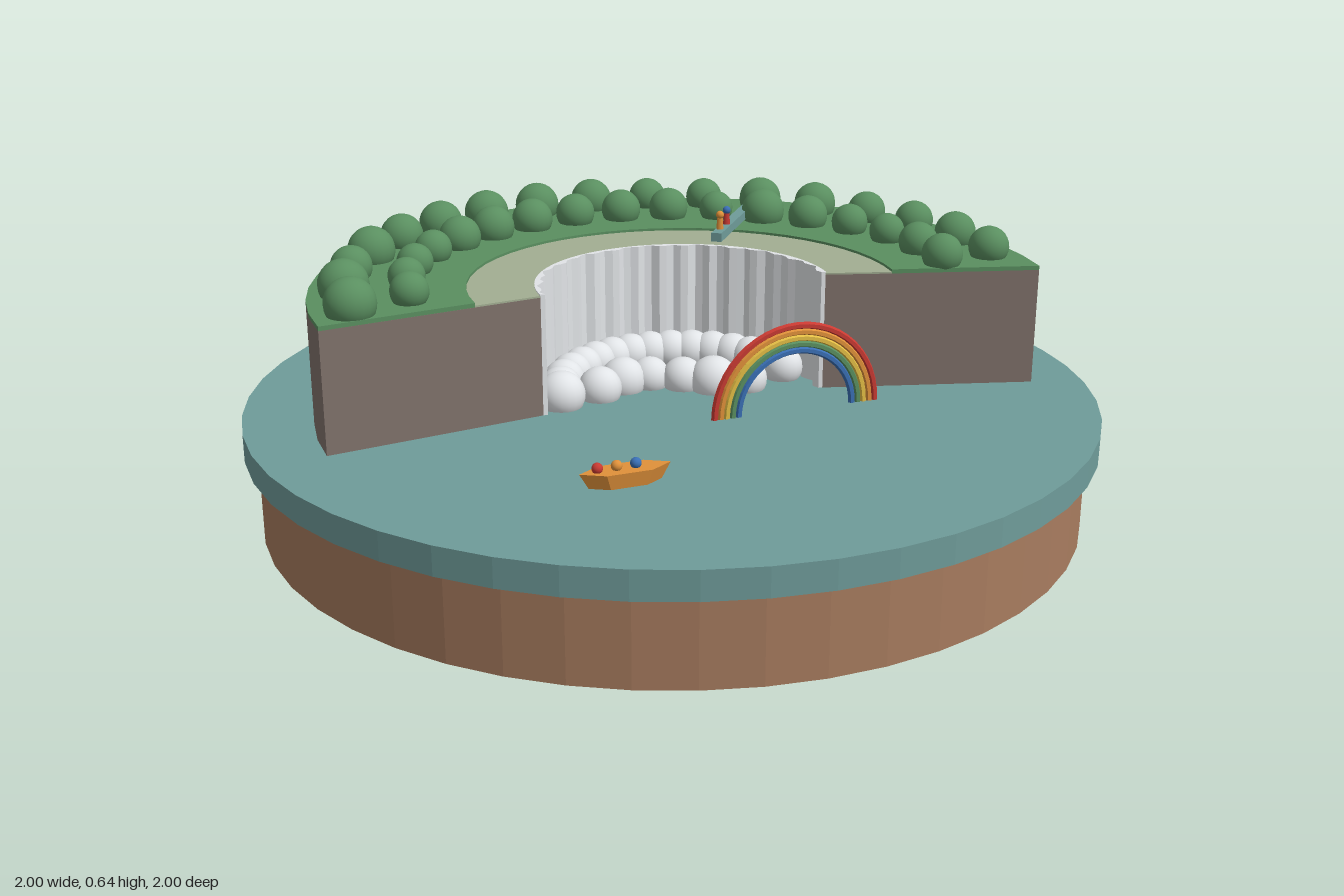
import * as THREE from 'three';

const mat = (name, color) => {
  const m = new THREE.MeshStandardMaterial({ color });
  m.name = name;
  return m;
};

export function createModel() {
  const model = new THREE.Group();
  model.name = 'waterfallIsland';
  const earth = mat('earth brown', 0xa87c5f);
  const water = mat('water teal', 0x6f9c9a);
  const rock = mat('rock grey', 0x80726b);
  const green = mat('foliage green', 0x5a8f60);
  const river = mat('pale river bank', 0xa2ae92);
  const white = mat('foam white', 0xe2e5e8);
  const red = mat('red', 0xc93a32);
  const orange = mat('orange', 0xe0913a);
  const yellow = mat('yellow', 0xe3bd45);
  const blue = mat('blue', 0x3a6fb5);

  const CX = -0.02, CZ = 0.066; // centre of the horseshoe

  function add(name, geo, material, x = 0, y = 0, z = 0, parent = model) {
    const mesh = new THREE.Mesh(geo, material);
    mesh.name = name;
    mesh.position.set(x, y, z);
    parent.add(mesh);
    return mesh;
  }
  const faceted = (geo) => {
    const g = geo.index ? geo.toNonIndexed() : geo;
    g.computeVertexNormals();
    return g;
  };
  const ball = (name, r, material, x, y, z, parent) =>
    add(name, new THREE.SphereGeometry(r, 20, 14), material, x, y, z, parent);
  // Position on a plan circle, angle in degrees from +x towards +z
  const polar = (r, deg) => {
    const a = THREE.MathUtils.degToRad(deg);
    return [CX + r * Math.cos(a), CZ + r * Math.sin(a)];
  };

  // Curved slab between two arcs { r, from, to, n, wave }
  function arcPoints({ r, from, to, n = 28, wave }) {
    return Array.from({ length: n + 1 }, (_, i) => {
      const [x, z] = polar(r + (wave ? wave(i) : 0), from + (to - from) * i / n);
      return new THREE.Vector2(x, -z);
    });
  }
  function slab(name, outer, inner, y0, y1, material) {
    const shape = new THREE.Shape([...arcPoints(outer), ...arcPoints(inner).reverse()]);
    const geo = new THREE.ExtrudeGeometry(shape, { depth: y1 - y0, bevelEnabled: false });
    geo.rotateX(-Math.PI / 2);
    return add(name, geo, material, 0, y0, 0);
  }

  // Round base and water disc
  add('base', faceted(new THREE.CylinderGeometry(0.97, 0.97, 0.2, 48)), earth, 0, 0.1, 0);
  add('waterDisc', faceted(new THREE.CylinderGeometry(1, 1, 0.065, 48)), water, 0, 0.2325, 0);

  // Horseshoe cliff with grass and river bank on top
  const outerArc = { r: 0.852, from: 194.7, to: 392.4 };
  const bankArc = { r: 0.498, from: 197.5, to: 390.4 };
  const innerArc = { r: 0.342, from: 200.4, to: 387.6 };
  slab('cliff', outerArc, innerArc, 0.265, 0.545, rock);
  slab('grass', outerArc, bankArc, 0.545, 0.555, green);
  slab('riverBank', bankArc, innerArc, 0.545, 0.549, river);

  // Rippled curtain of falling water
  const ripple = (i) => 0.006 * Math.sin(i * 1.9) + 0.004 * Math.sin(i * 0.7);
  slab('waterfall', { ...innerArc, r: 0.343, n: 60 },
    { ...innerArc, r: 0.331, n: 60, wave: ripple }, 0.265, 0.552, white);

  // Foam along the foot of the falls and trailing into the pool
  const foam = new THREE.Group();
  foam.name = 'foam';
  model.add(foam);
  for (let i = 0; i < 16; i++) {
    const [x, z] = polar(0.288, 210 + i * 10.5);
    ball('foamBall', i === 0 ? 0.056 : 0.05, white, x, 0.293, z, foam);
  }
  [[-0.165, -0.067, 0.052], [-0.085, -0.08, 0.055], [-0.02, -0.058, 0.048],
    [0.035, 0, 0.05], [0.08, 0.06, 0.058], [0.145, 0.105, 0.05]]
    .forEach(([x, z, r]) => ball('foamBall', r, white, x, 0.288, z, foam));

  // Two rows of round trees
  const trees = new THREE.Group();
  trees.name = 'trees';
  model.add(trees);
  const rows = [
    { r: 0.768, from: 199.1, to: 384.5, sizes: [58, 58, 49, 57, 53, 55, 57, 57, 54, 49, 48, 56, 55, 49, 49, 51, 49] },
    { r: 0.63, from: 203.5, to: 387.8, sizes: [44, 43, 43, 45, 52, 53, 52, 50, 51, 51, 44, 56, 51, 46, 44, 48, 49] },
  ];
  rows.forEach(({ r, from, to, sizes }) => sizes.forEach((s, i) => {
    const [x, z] = polar(r, from + (to - from) * i / 16);
    ball('tree', s / 1000, green, x, 0.58, z, trees);
  }));

  // Walkway across the cliff top with two visitors
  const walkway = add('walkway', new THREE.BoxGeometry(0.47, 0.022, 0.026), water, 0.453, 0.572, -0.26);
  walkway.rotation.y = Math.atan2(0.26, 0.393);
  [[0.294, -0.158, orange, orange], [0.342, -0.186, red, blue]].forEach(([x, z, body, head]) => {
    add('visitorBody', new THREE.CylinderGeometry(0.007, 0.009, 0.03, 8), body, x, 0.596, z);
    ball('visitorHead', 0.01, head, x, 0.619, z);
  });

  // Rainbow of five nested arches
  const rainbow = new THREE.Group();
  rainbow.name = 'rainbow';
  rainbow.position.set(0.104, 0.277, 0.315);
  rainbow.rotation.y = -0.348;
  model.add(rainbow);
  [red, orange, yellow, green, blue].forEach((m, i) => {
    const r = 0.2 - i * 0.0145;
    add('rainbowBand', faceted(new THREE.TorusGeometry(r, 0.0085, 6, 24, Math.PI)), m, 0, 0, 0, rainbow);
    // Caps on both feet
    for (const s of [-1, 1]) {
      const cap = add('bandFoot', new THREE.CircleGeometry(0.0085, 6), m, s * r, 0, 0, rainbow);
      cap.rotation.x = Math.PI / 2;
    }
  });

  // Tour boat with three passengers
  const boat = new THREE.Group();
  boat.name = 'boat';
  boat.position.set(-0.455, 0.265, 0.386);
  boat.rotation.y = -0.33;
  model.add(boat);
  const hull = new THREE.CylinderGeometry(1, 0.8, 1, 6);
  hull.rotateY(Math.PI / 2);
  hull.scale(0.1, 0.034, 0.034);
  add('hull', faceted(hull), orange, 0, 0.018, 0, boat);
  [red, orange, blue].forEach((m, i) =>
    ball('passenger', 0.012, m, -0.061 + i * 0.042, 0.043, 0, boat));

  return model;
}
